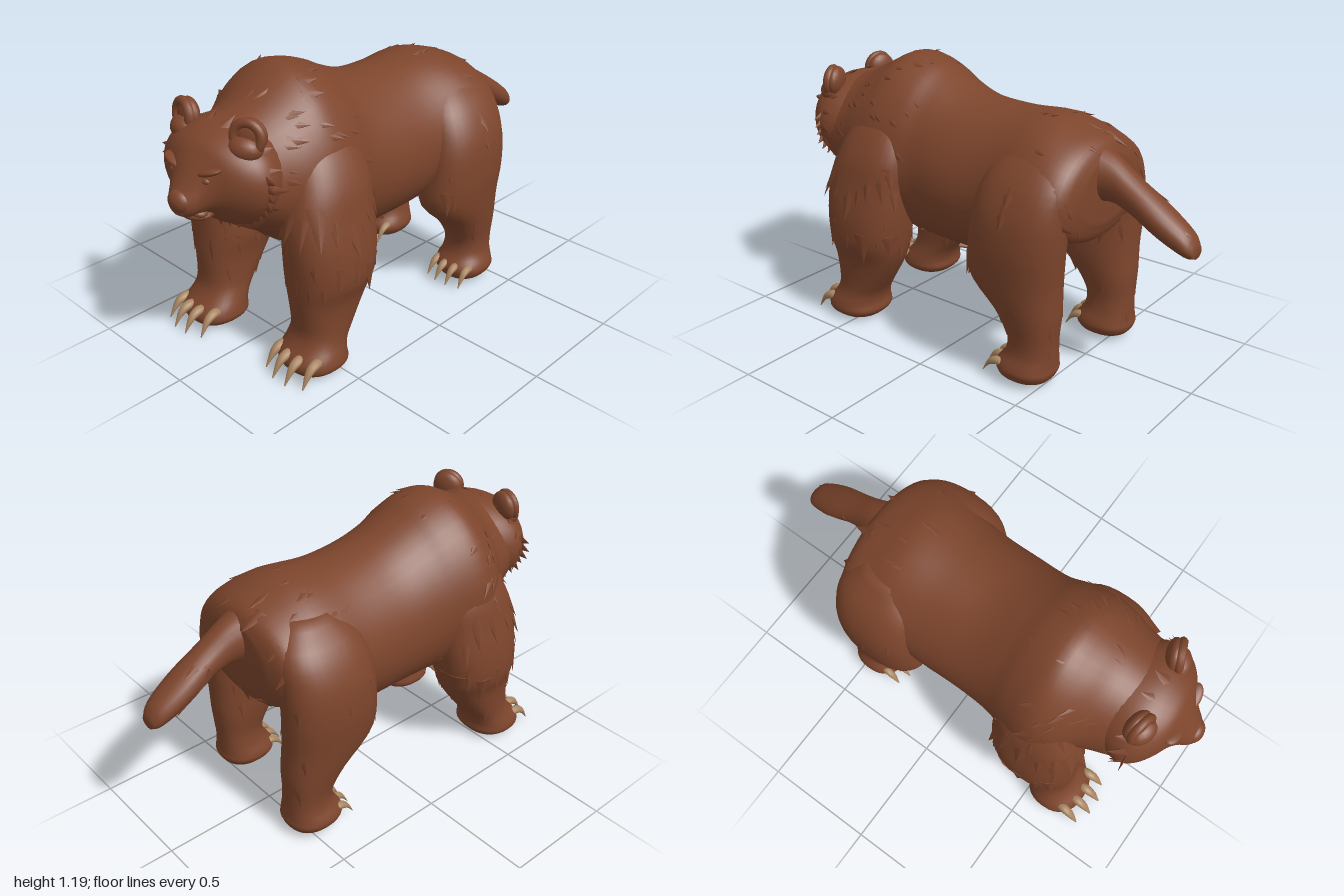
import * as THREE from 'three';
import { mergeGeometries } from 'three/addons/utils/BufferGeometryUtils.js';

const fur = new THREE.MeshStandardMaterial({ color: 0x7d452c });
fur.name = 'brown fur';
const horn = new THREE.MeshStandardMaterial({ color: 0xa98560 });
horn.name = 'tan claw';

let seed = 7;
const rand = () => (seed = (seed * 16807) % 2147483647) / 2147483647;

// Smooth skin through elliptical sections [z, centreX, centreY, radiusX, radiusY], z rising.
// A power under 1 squares the section, pear narrows its top.
function loft(sections, seg = 28, rows = 36, power = 1, pear = 0) {
  const centre = new THREE.CatmullRomCurve3(sections.map(s => new THREE.Vector3(s[1], s[2], s[0])), false, 'catmullrom');
  const radius = new THREE.CatmullRomCurve3(sections.map(s => new THREE.Vector3(s[3], s[4], 0)), false, 'catmullrom');
  const round = v => Math.sign(v) * Math.abs(v) ** power;
  const pos = [], index = [];
  for (let i = -1; i <= rows + 1; i++) {
    const u = Math.min(Math.max(i / rows, 0), 1);
    const c = centre.getPoint(u), r = radius.getPoint(u);
    const k = i < 0 || i > rows ? 0.001 : 1; // closed ends
    for (let j = 0; j < seg; j++) {
      const t = j / seg * Math.PI * 2, s = round(Math.sin(t));
      pos.push(c.x + k * r.x * round(Math.cos(t)) * (1 - pear * s), c.y + k * r.y * s, c.z);
    }
  }
  for (let i = 0; i < rows + 2; i++) for (let j = 0; j < seg; j++) {
    const a = i * seg + j, b = i * seg + (j + 1) % seg;
    index.push(a, b, b + seg, a, b + seg, a + seg);
  }
  const g = new THREE.BufferGeometry();
  g.setAttribute('position', new THREE.Float32BufferAttribute(pos, 3));
  g.setIndex(index);
  g.computeVertexNormals();
  g.userData = { seg, rows };
  return g;
}

// Upright version with sections [y, centreX, centreZ, radiusX, radiusZ], y rising
const loftUp = s => loft(s.map(([y, x, z, a, b]) => [y, x, -z, a, b]), 32, 40, 0.86).rotateX(-Math.PI / 2);

// One broad pointed lock of fur lying along the flow direction
function lock(p, n, flow, w, h, flare) {
  const y = flow.clone().addScaledVector(n, -flow.dot(n)).normalize().addScaledVector(n, flare).normalize();
  const x = new THREE.Vector3().crossVectors(y, n).normalize();
  const z = new THREE.Vector3().crossVectors(x, y);
  const m = new THREE.Matrix4().makeBasis(x.multiplyScalar(w), y.clone().multiplyScalar(h), z.multiplyScalar(w * 0.3));
  m.setPosition(p.clone().addScaledVector(n, -0.008).addScaledVector(y, h * 0.25));
  return new THREE.ConeGeometry(1, 1, 6).applyMatrix4(m);
}

function lockAt(g, i, flow, w, h, flare) {
  const p = new THREE.Vector3().fromBufferAttribute(g.attributes.position, i);
  const n = new THREE.Vector3().fromBufferAttribute(g.attributes.normal, i);
  return lock(p, n, flow, w, h, flare);
}

// Scattered locks between two fractions of a loft
function scatter(g, count, flow, u0, u1) {
  const { seg, rows } = g.userData, out = [];
  for (let k = 0; k < count; k++) {
    const row = 1 + Math.round((u0 + (u1 - u0) * rand()) * rows);
    out.push(lockAt(g, row * seg + Math.floor(rand() * seg), flow, 0.026 + rand() * 0.016, 0.07 + rand() * 0.04, 0.16));
  }
  return out;
}

// Ragged collar of locks around a loft at about one fraction
function collar(g, u, flow, w, h, flare, step) {
  const { seg, rows } = g.userData, out = [];
  for (let j = 0; j < seg; j += step) {
    const row = 1 + Math.round(u * rows + (rand() - 0.5) * 2);
    out.push(lockAt(g, row * seg + j, flow, w * (0.8 + 0.4 * rand()), h * (0.7 + 0.5 * rand()), flare));
  }
  return out;
}

export function createModel() {
  const model = new THREE.Group();
  model.name = 'bear';
  const add = (name, geometry, material = fur, parent = model) => {
    const mesh = new THREE.Mesh(geometry, material);
    mesh.name = name;
    parent.add(mesh);
    return mesh;
  };
  const down = new THREE.Vector3(0, -1, 0), back = new THREE.Vector3(0, -0.5, -0.8);

  // Torso with shoulder hump
  const torso = loft([
    [-0.60, 0.03, 0.80, 0.18, 0.13], [-0.565, 0.025, 0.79, 0.30, 0.20], [-0.48, 0.03, 0.80, 0.335, 0.23],
    [-0.35, 0.02, 0.785, 0.34, 0.28], [-0.15, 0.01, 0.735, 0.325, 0.32], [0.05, 0.01, 0.735, 0.32, 0.335],
    [0.20, 0, 0.76, 0.32, 0.365], [0.30, -0.005, 0.79, 0.34, 0.385], [0.42, -0.01, 0.81, 0.355, 0.39],
    [0.52, 0, 0.815, 0.335, 0.34], [0.62, 0.025, 0.83, 0.28, 0.27], [0.74, 0.035, 0.85, 0.25, 0.21],
  ], 40, 48, 1, 0.09);
  add('torso', torso);
  add('torsoFur', mergeGeometries([...scatter(torso, 45, back, 0.05, 0.35), ...scatter(torso, 60, back, 0.6, 0.95)]));

  // Hanging fur under the belly
  const belly = [];
  for (let i = 0; i < 26; i++)
    belly.push(lock(new THREE.Vector3(0.01 + (rand() - 0.5) * 0.3, 0.425, -0.12 + i * 0.018),
      new THREE.Vector3(0, -1, 0), new THREE.Vector3(rand() - 0.5, 0, -1), 0.04, 0.09, 0.25));
  add('bellyFur', mergeGeometries(belly));

  // Tail
  const tail = loft([
    [-0.998, 0.05, 0.645, 0.035, 0.025], [-0.96, 0.05, 0.672, 0.062, 0.052], [-0.85, 0.05, 0.735, 0.077, 0.068],
    [-0.72, 0.05, 0.81, 0.07, 0.075], [-0.62, 0.045, 0.855, 0.08, 0.095], [-0.50, 0.04, 0.86, 0.13, 0.14],
  ], 20, 20);
  add('tail', tail);
  add('tailFur', mergeGeometries(scatter(tail, 8, back, 0.2, 0.8)));

  // Curved claw, base at the origin, pointing forward
  const claw = loft([
    [0, 0, 0, 0.018, 0.02], [0.035, 0, 0.004, 0.021, 0.021], [0.075, 0, -0.016, 0.016, 0.018], [0.11, 0, -0.07, 0.003, 0.004],
  ], 10, 10);

  // Legs, sections [y, distance from the middle, z, radiusX, radiusZ]
  const frontLeg = [
    [0.012, 0.28, 0.55, 0.06, 0.06], [0.018, 0.28, 0.55, 0.10, 0.10], [0.05, 0.28, 0.55, 0.138, 0.13],
    [0.09, 0.28, 0.55, 0.136, 0.125], [0.14, 0.278, 0.525, 0.122, 0.112], [0.20, 0.28, 0.497, 0.116, 0.122],
    [0.32, 0.282, 0.468, 0.124, 0.167], [0.42, 0.288, 0.457, 0.15, 0.188], [0.55, 0.288, 0.455, 0.148, 0.20],
    [0.68, 0.275, 0.45, 0.135, 0.20], [0.80, 0.25, 0.43, 0.13, 0.185], [0.92, 0.19, 0.42, 0.12, 0.15],
    [1.0, 0.14, 0.42, 0.08, 0.08],
  ];
  const hindLeg = [
    [0.03, 0.24, -0.45, 0.06, 0.06], [0.036, 0.24, -0.45, 0.095, 0.105], [0.07, 0.24, -0.45, 0.12, 0.125],
    [0.10, 0.24, -0.45, 0.118, 0.122], [0.15, 0.24, -0.465, 0.10, 0.105], [0.22, 0.245, -0.465, 0.096, 0.105],
    [0.32, 0.25, -0.435, 0.112, 0.14], [0.45, 0.26, -0.367, 0.13, 0.205], [0.60, 0.275, -0.367, 0.135, 0.21],
    [0.75, 0.265, -0.372, 0.135, 0.205], [0.88, 0.22, -0.38, 0.12, 0.185], [0.98, 0.15, -0.38, 0.08, 0.10],
  ];
  for (const side of [1, -1]) {
    const label = side > 0 ? 'left' : 'right';
    // stepZ and stepX move the paw, fading out up the leg
    for (const [name, sections, stepX, stepZ, clawZ, clawY, size] of [
      ['FrontLeg', frontLeg, 0, side > 0 ? 0 : 0.06, 0.635, 0.092, 1],
      ['HindLeg', hindLeg, side > 0 ? 0.05 : -0.01, side > 0 ? 0.04 : -0.005, -0.365, 0.095, 0.85],
    ]) {
      const leg = new THREE.Group();
      leg.name = label + name;
      model.add(leg);
      const skin = loftUp(sections.map(([y, x, z, a, b]) => {
        const fade = Math.max(0, 1 - y / (name === 'FrontLeg' ? 0.5 : 0.9));
        return [y, 0.014 + side * x + stepX * fade, z + stepZ * fade, a, b];
      }));
      add('limb', skin, fur, leg);
      const locks = scatter(skin, 22, down, 0.4, 0.9);
      if (name === 'FrontLeg')
        locks.push(...collar(skin, 0.76, down, 0.045, 0.15, 0.16, 2), ...collar(skin, 0.6, down, 0.04, 0.13, 0.1, 2));
      add('limbFur', mergeGeometries(locks), fur, leg);
      for (let i = 0; i < 4; i++) {
        const dx = (i - 1.5) * 0.064 * size;
        const c = add('claw', claw, horn, leg);
        c.position.set(0.016 + side * sections[1][1] + stepX + dx, clawY, clawZ + stepZ - 3.5 * dx * dx);
        c.scale.setScalar(size);
        c.rotation.y = dx;
      }
    }
  }

  // Head group pivots at the neck and looks slightly to its left
  const headGroup = new THREE.Group();
  headGroup.name = 'headGroup';
  headGroup.position.set(0.03, 0, 0.65);
  headGroup.rotation.y = 0.1;
  model.add(headGroup);
  const ball = (name, x, y, z, a, b, c, tilt = 0) => {
    const mesh = add(name, new THREE.SphereGeometry(1, 20, 14), fur, headGroup);
    mesh.position.set(x, y, z);
    mesh.scale.set(a, b, c);
    mesh.rotation.z = tilt;
  };

  // Skull running smoothly into the muzzle
  const head = loft([
    [-0.03, 0, 0.87, 0.22, 0.20], [0.07, 0, 0.865, 0.262, 0.21], [0.13, 0, 0.867, 0.262, 0.20],
    [0.18, 0, 0.875, 0.23, 0.172], [0.22, 0, 0.883, 0.18, 0.138], [0.25, 0, 0.87, 0.125, 0.112],
    [0.28, 0, 0.845, 0.088, 0.09], [0.31, 0, 0.822, 0.066, 0.062], [0.332, 0, 0.815, 0.045, 0.042],
  ], 36, 36);
  add('head', head, fur, headGroup);
  add('faceRuff', mergeGeometries(collar(head, 0.22, new THREE.Vector3(0, -0.25, -1), 0.036, 0.09, 0.25, 2)), fur, headGroup);

  // Cheek and chin fringe
  const fringe = [];
  for (let i = 0; i < 21; i++) {
    const t = Math.PI * (0.93 + 1.14 * i / 20), n = new THREE.Vector3(Math.cos(t), Math.sin(t), 0);
    fringe.push(lock(new THREE.Vector3(0.245 * n.x, 0.87 + 0.172 * n.y, 0.135),
      new THREE.Vector3(0, 0, 1), new THREE.Vector3(n.x, n.y - 0.3, 0), 0.034, 0.05 + 0.03 * rand(), 0));
  }
  add('cheekFringe', mergeGeometries(fringe), fur, headGroup);

  // Face
  ball('nose', 0, 0.825, 0.316, 0.052, 0.045, 0.036);
  ball('chin', 0, 0.754, 0.24, 0.072, 0.028, 0.058);
  for (const side of [1, -1]) {
    ball('lip', side * 0.03, 0.78, 0.263, 0.045, 0.02, 0.036, -side * 0.35);
    ball('eye', side * 0.08, 0.906, 0.259, 0.021, 0.014, 0.014);
    ball('brow', side * 0.078, 0.934, 0.24, 0.065, 0.015, 0.036, side * 0.32);

    // Rounded ear with a thick rim and a shallow hollow
    const ear = new THREE.Group();
    ear.name = side > 0 ? 'leftEar' : 'rightEar';
    ear.position.set(side * 0.165, 1.052, 0.125);
    ear.rotation.set(-0.1, side * 0.3, 0);
    headGroup.add(ear);
    add('earRim', new THREE.TorusGeometry(0.054, 0.019, 10, 28), fur, ear);
    add('earBack', new THREE.SphereGeometry(1, 20, 12).scale(0.068, 0.068, 0.036), fur, ear).position.z = -0.022;
    add('earRoot', new THREE.SphereGeometry(1, 16, 12).scale(0.07, 0.05, 0.055), fur, ear).position.set(-side * 0.01, -0.045, -0.005);
  }
  return model;
}
